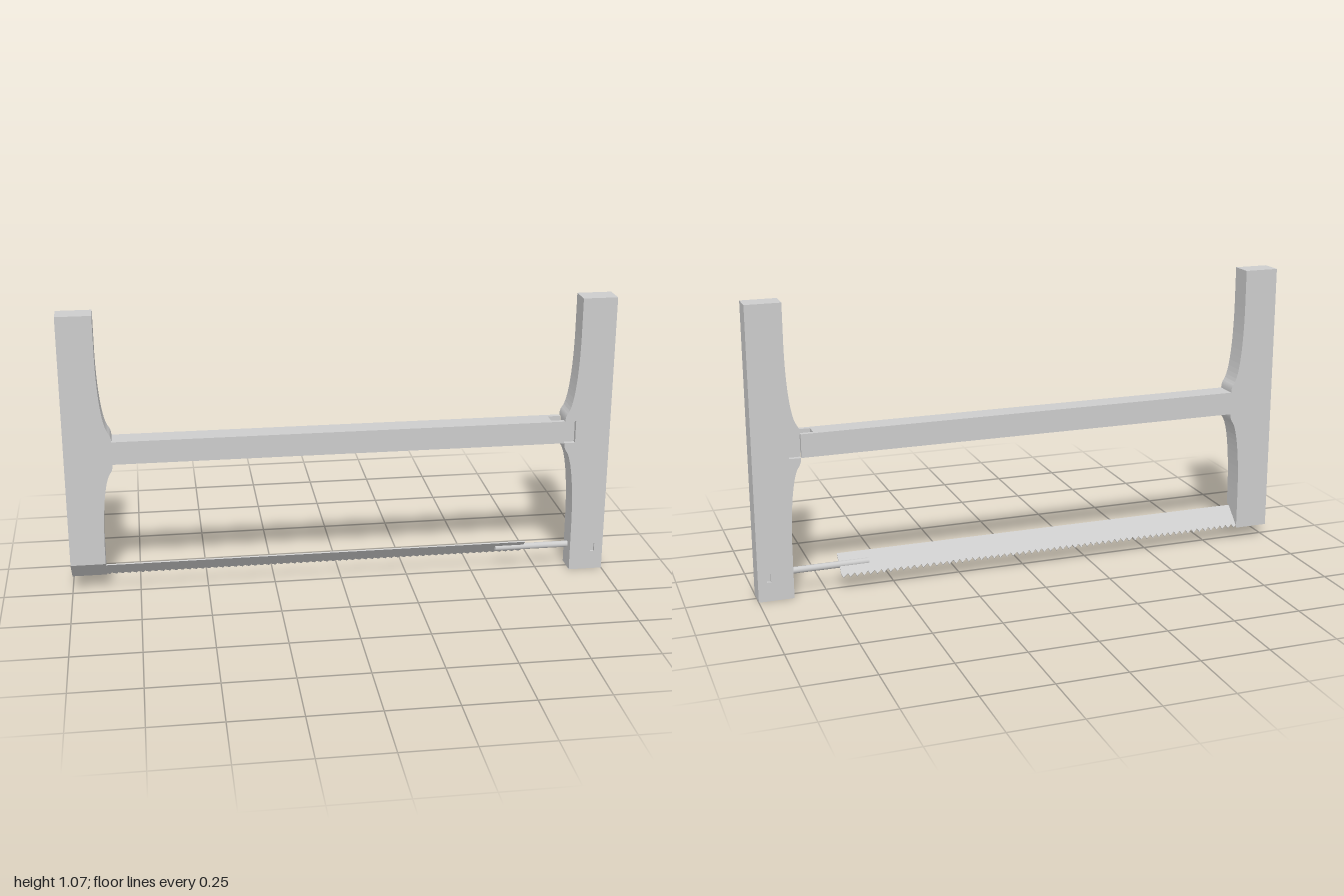
import * as THREE from 'three';

const HALF = 0.042;      // half thickness of the frame
const CORE = 0.024;      // half thickness of the joint tongue
const TOP = 1.065;
const BEAM_LOW = 0.515, BEAM_HIGH = 0.6;

function extrude(shape, z0, z1) {
  const geometry = new THREE.ExtrudeGeometry(shape, { depth: z1 - z0, bevelEnabled: false, curveSegments: 12 });
  geometry.translate(0, 0, z0);
  return geometry;
}

// Post outline: straight outer edge at x = side, flared inner edge around the beam
function postShape(side, bottom, notched) {
  const s = new THREE.Shape();
  const x = (v) => side * v;
  s.moveTo(x(1), bottom);
  s.lineTo(x(1), TOP);
  s.lineTo(x(0.873), TOP);
  s.lineTo(x(0.873), 0.92);
  s.bezierCurveTo(x(0.872), 0.78, x(0.86), 0.66, x(0.838), 0.632);
  s.quadraticCurveTo(x(0.829), 0.62, x(0.829), BEAM_HIGH);
  if (notched) {
    s.lineTo(x(0.87), BEAM_HIGH);
    s.lineTo(x(0.87), BEAM_LOW);
  }
  s.lineTo(x(0.829), BEAM_LOW);
  s.quadraticCurveTo(x(0.829), 0.495, x(0.838), 0.483);
  s.bezierCurveTo(x(0.86), 0.455, x(0.872), 0.335, x(0.873), 0.2);
  s.lineTo(x(0.873), bottom);
  s.closePath();
  return s;
}

export function createModel() {
  const model = new THREE.Group();
  model.name = 'frameSaw';
  const grey = new THREE.MeshStandardMaterial({ color: 0xcccccc });
  grey.name = 'light grey';
  const add = (name, geometry, parent = model) => {
    const mesh = new THREE.Mesh(geometry, grey);
    mesh.name = name;
    parent.add(mesh);
    return mesh;
  };

  // Post with a slanted foot that carries the tilted blade
  const fixed = extrude(postShape(-1, 0.05, false), -HALF, HALF);
  const p = fixed.attributes.position;
  for (let i = 0; i < p.count; i++) {
    if (p.getY(i) < 0.06 && p.getZ(i) > 0) p.setY(i, 0.13);
  }
  fixed.computeVertexNormals();
  add('rightPost', fixed);

  // Opposite post in three layers: full core, and cheeks notched for the beam
  const leftPost = new THREE.Group();
  leftPost.name = 'leftPost';
  model.add(leftPost);
  const layers = [['backCheek', -HALF, -CORE], ['tongue', -CORE, CORE], ['frontCheek', CORE, HALF]];
  for (const [name, z0, z1] of layers) {
    const shape = postShape(1, 0, name !== 'tongue');
    const slot = new THREE.Path();
    slot.moveTo(0.953, 0.071);
    slot.lineTo(0.953, 0.103);
    slot.lineTo(0.968, 0.103);
    slot.lineTo(0.968, 0.071);
    slot.closePath();
    shape.holes.push(slot);
    add(name, extrude(shape, z0, z1), leftPost);
  }

  // Cross pin recessed in the slot
  const pin = add('crossPin', new THREE.BoxGeometry(0.015, 0.032, 0.064));
  pin.position.set(0.9605, 0.087, 0);

  // Beam with a forked end, outlined from above
  const fork = new THREE.Shape([
    [-0.83, -HALF], [0.827, -HALF], [0.827, -CORE], [0.78, -CORE],
    [0.78, CORE], [0.827, CORE], [0.827, HALF], [-0.83, HALF],
  ].map(([x, z]) => new THREE.Vector2(x, z)));
  const beam = extrude(fork, 0, BEAM_HIGH - BEAM_LOW);
  beam.rotateX(-Math.PI / 2);
  beam.translate(0, BEAM_LOW, 0);
  add('beam', beam);

  // Blade with raked teeth, tilted to match the slanted foot
  const teeth = 64, start = -0.88, end = 0.7, pitch = (end - start) / teeth;
  const outline = new THREE.Shape();
  outline.moveTo(start, 0.042);
  outline.lineTo(start, -0.042);
  for (let i = 0; i < teeth; i++) {
    outline.lineTo(start + (i + 0.75) * pitch, -0.057);
    outline.lineTo(start + (i + 1) * pitch, -0.042);
  }
  outline.lineTo(end, 0.042);
  outline.closePath();
  const blade = add('blade', extrude(outline, -0.002, 0.002));
  blade.rotation.x = 0.81;
  blade.position.set(0, 0.092, -0.002);

  // Round rod gripping the blade end
  const rod = add('tensionRod', new THREE.CylinderGeometry(0.012, 0.012, 0.29, 20));
  rod.rotation.z = Math.PI / 2;
  rod.position.set(0.735, 0.089, 0);

  return model;
}
